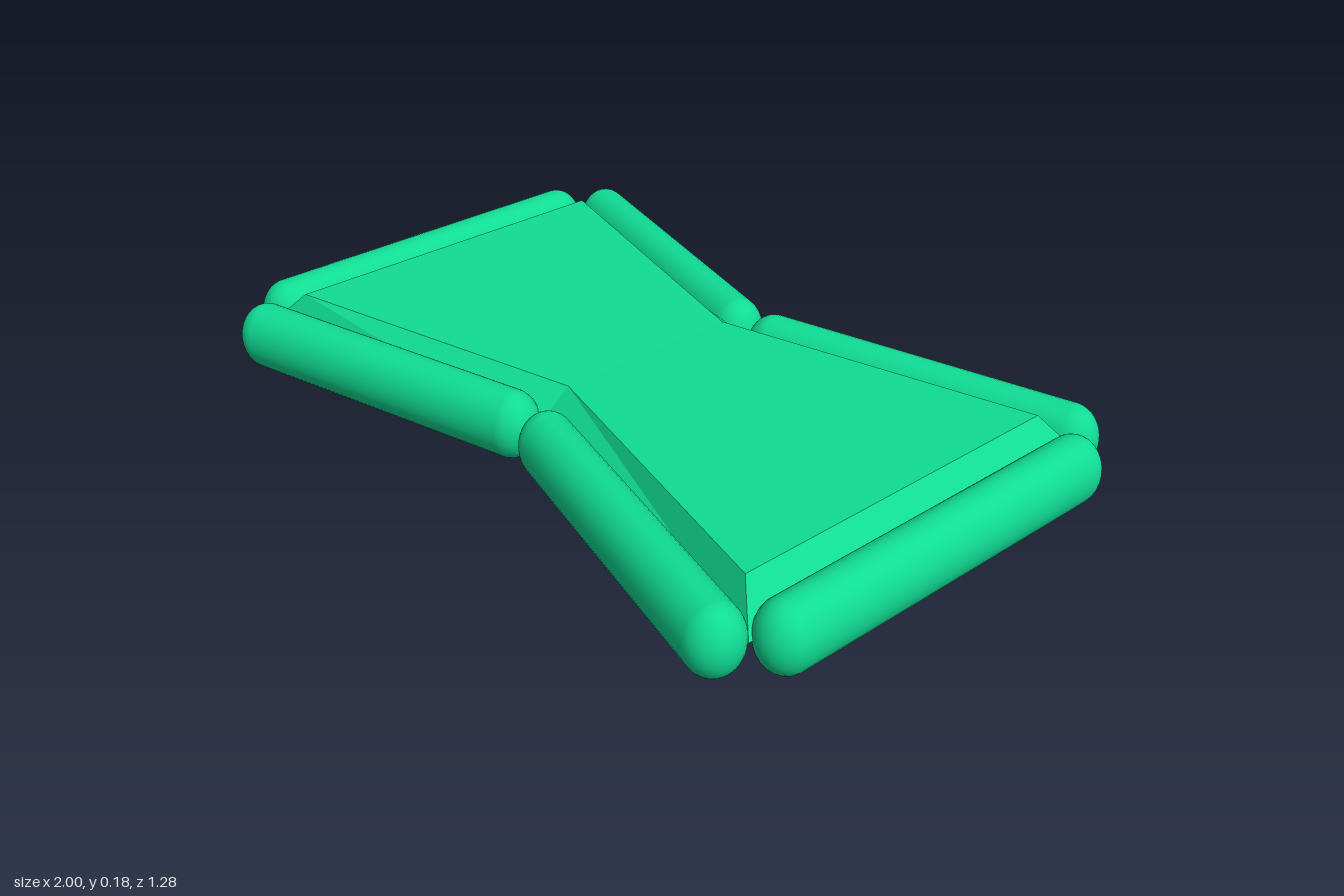
import * as THREE from 'three';

const material = new THREE.MeshStandardMaterial({ color: 0x10dc94 });
const padMaterial = new THREE.MeshStandardMaterial({ color: 0x10dc94, flatShading: true });
const MID = 0.0915;

// Inflated tube between two points on the floor plan, slightly taller than wide
function tube(name, [x1, z1], [x2, z2]) {
  const geometry = new THREE.CapsuleGeometry(0.07, Math.hypot(x2 - x1, z2 - z1), 12, 32);
  geometry.rotateX(Math.PI / 2);
  geometry.scale(1, 1.25, 1);
  geometry.rotateY(Math.atan2(x2 - x1, z2 - z1));
  const mesh = new THREE.Mesh(geometry, material);
  mesh.name = name;
  mesh.position.set((x1 + x2) / 2, MID, (z1 + z2) / 2);
  return mesh;
}

// Bow-tie outline from its corner and waist, anticlockwise from above
function ring(x, z, waist, cornerY, waistY) {
  return [
    [x, cornerY, z], [x, cornerY, -z], [0, waistY, -waist],
    [-x, cornerY, -z], [-x, cornerY, z], [0, waistY, waist],
  ];
}

// Central pad with edges sloping down into the tubes
function pad() {
  const rings = [
    ring(0.82, 0.465, 0.25, 0.183, 0.178),
    ring(0.9, 0.53, 0.355, MID, MID),
    ring(0.82, 0.465, 0.25, 0, 0.005),
  ];
  const points = [...rings.flat(), [0, 0.178, 0], [0, 0.005, 0]];
  const index = [];
  for (let i = 0; i < 6; i++) {
    const j = (i + 1) % 6;
    index.push(18, i, j, 19, 12 + j, 12 + i);
    for (const r of [0, 6]) {
      index.push(r + i, r + 6 + i, r + 6 + j, r + i, r + 6 + j, r + j);
    }
  }
  const geometry = new THREE.BufferGeometry();
  geometry.setAttribute('position', new THREE.Float32BufferAttribute(points.flat(), 3));
  geometry.setIndex(index);
  geometry.computeVertexNormals();
  const mesh = new THREE.Mesh(geometry, padMaterial);
  mesh.name = 'centrePad';
  return mesh;
}

export function createModel() {
  const group = new THREE.Group();
  group.name = 'inflatableFloat';
  group.add(pad());
  for (const [side, sx] of [['left', 1], ['right', -1]]) {
    // Straight tube closing each wide end
    group.add(tube(side + 'EndTube', [sx * 0.93, -0.455], [sx * 0.93, 0.455]));
    // Slanted tubes running from the waist to the corners
    for (const [face, sz] of [['Front', 1], ['Back', -1]]) {
      group.add(tube(side + face + 'Tube', [sx * 0.07, sz * 0.368], [sx * 0.84, sz * 0.57]));
    }
  }
  return group;
}
